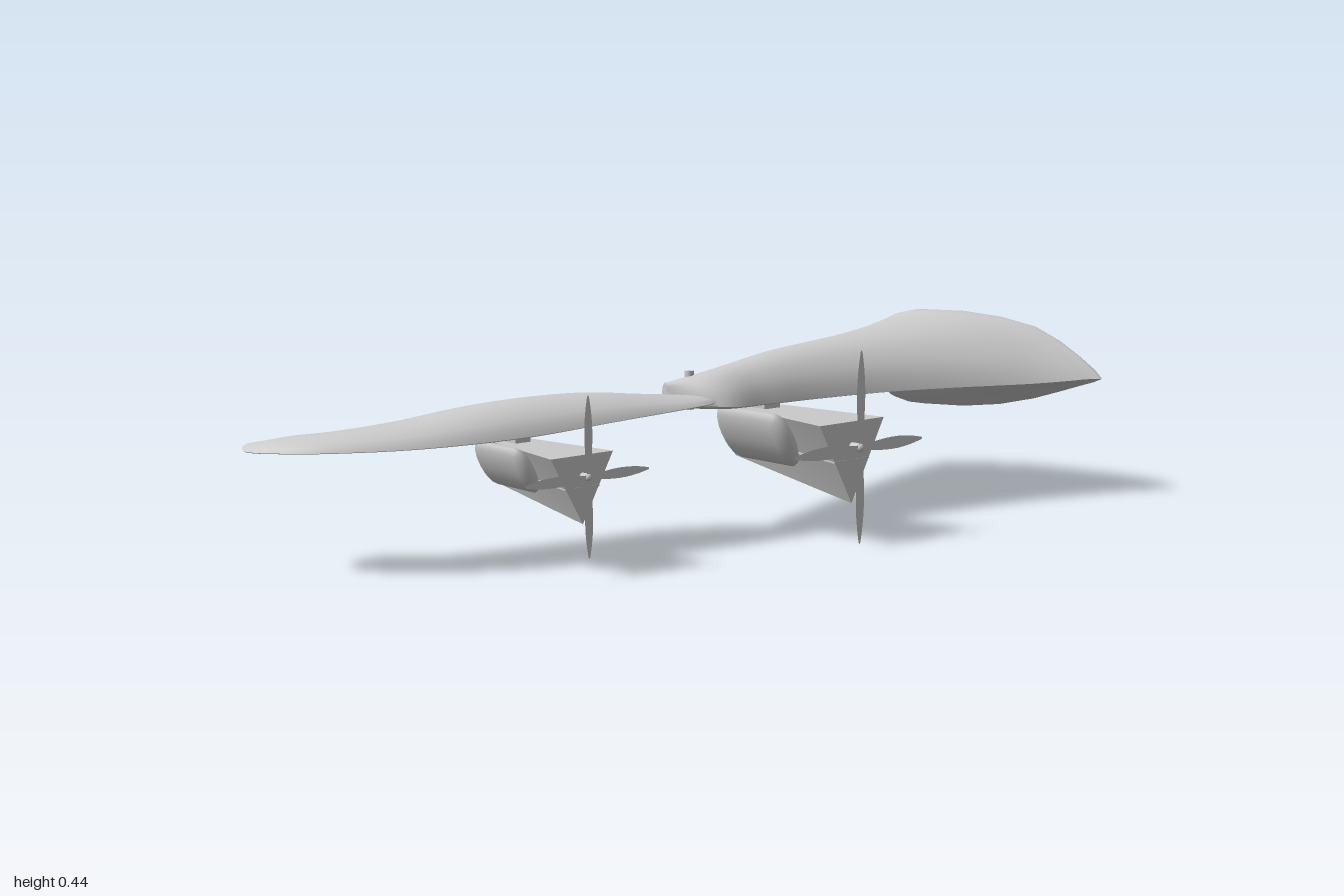
import * as THREE from 'three';
import { toCreasedNormals } from 'three/addons/utils/BufferGeometryUtils.js';

const material = new THREE.MeshStandardMaterial({ color: 0xcccccc });
const thin = new THREE.MeshStandardMaterial({ color: 0xcccccc, side: THREE.DoubleSide });

function part(name, geometry, parent, mat = material) {
  const mesh = new THREE.Mesh(geometry, mat);
  mesh.name = name;
  parent.add(mesh);
  return mesh;
}

// Joins closed rings of points (clockwise seen from the last ring) and caps both ends
function loft(rings, crease) {
  const n = rings[0].length, index = [];
  const points = rings.flat();
  for (let i = 0; i < rings.length - 1; i++) {
    for (let j = 0; j < n; j++) {
      const a = i * n + j, b = i * n + (j + 1) % n;
      index.push(a, a + n, b, b, a + n, b + n);
    }
  }
  for (const [i, flip] of [[0, false], [rings.length - 1, true]]) {
    const c = points.length;
    points.push(rings[i].reduce((s, p) => s.add(p), new THREE.Vector3()).divideScalar(n));
    for (let j = 0; j < n; j++) {
      const a = i * n + j, b = i * n + (j + 1) % n;
      index.push(c, flip ? b : a, flip ? a : b);
    }
  }
  const g = new THREE.BufferGeometry().setFromPoints(points);
  g.setIndex(index);
  return toCreasedNormals(g, crease);
}

// Section heights along the chord: [chord fraction, root upper, root lower, foil upper, foil lower]
const SECTION = [
  [0, 0, 0, 0, 0], [0.03, 0.15, 0.1, 0.34, 0.5], [0.09, 0.36, 0.24, 0.6, 0.8],
  [0.17, 0.6, 0.43, 0.82, 0.95], [0.27, 0.82, 0.65, 0.96, 1], [0.4, 0.94, 0.85, 1, 0.9],
  [0.55, 1, 0.97, 0.92, 0.65], [0.72, 0.99, 1, 0.7, 0.4], [0.79, 0.92, 0.99, 0.57, 0.3],
  [0.85, 0.78, 0.9, 0.43, 0.2], [0.92, 0.44, 0.56, 0.25, 0.1], [0.97, 0.18, 0.28, 0.1, 0.03],
  [1, 0, 0, 0, 0],
];

// Station: leading xyz, trailing xyz, top y, bottom y, blend from foil (0) to root section (1)
function wing(stations, steps) {
  const curve = (f) => new THREE.CatmullRomCurve3(stations.map(f), false, 'catmullrom', 0.5);
  const lead = curve((s) => new THREE.Vector3(s[0], s[1], s[2]));
  const trail = curve((s) => new THREE.Vector3(s[3], s[4], s[5]));
  const height = curve((s) => new THREE.Vector3(s[6], s[7], s[8]));
  const rings = [];
  for (let i = 0; i <= steps; i++) {
    const L = lead.getPoint(i / steps), T = trail.getPoint(i / steps), h = height.getPoint(i / steps);
    const at = (u, root, foil, y) => {
      const p = L.clone().lerp(T, u);
      p.y += (y - p.y) * THREE.MathUtils.lerp(foil, root, h.z);
      return p;
    };
    rings.push([
      ...SECTION.map(([u, root, , foil]) => at(u, root, foil, h.x)),
      ...SECTION.slice(1, -1).reverse().map(([u, , root, , foil]) => at(u, root, foil, h.y)),
    ]);
  }
  return loft(rings, 0.75);
}

// Inverted triangular section at depth z
function triangle(halfWidth, top, bottom, z) {
  return [
    new THREE.Vector3(-halfWidth, top, z),
    new THREE.Vector3(halfWidth, top, z),
    new THREE.Vector3(0, bottom, z),
  ];
}

// Flat strip section at depth z
function strip(halfWidth, y, z) {
  return [[-1, 1], [1, 1], [1, -1], [-1, -1]].map(
    ([sx, sy]) => new THREE.Vector3(sx * halfWidth, y + sy * 0.002, z));
}

function enginePod(name, x, y, z, scale) {
  const pod = new THREE.Group();
  pod.name = name;
  pod.position.set(x, y, z);
  pod.scale.setScalar(scale);

  // Tapered housing with a seam plate running along both sides
  part('podHousing', loft([
    triangle(0.045, 0.065, -0.057, -0.375),
    triangle(0.105, 0.055, -0.124, -0.024),
  ], 0.3), pod);
  part('podSeamPlate', loft([
    strip(0.0185, -0.01, -0.374),
    strip(0.057, -0.029, -0.0235),
  ], 0.3), pod);

  // Rounded fairing lying along one side of the housing
  const fairing = part('podFairing', new THREE.CapsuleGeometry(0.03, 0.17, 6, 14), pod);
  fairing.geometry.rotateX(Math.PI / 2).scale(0.75, 2.3, 1);
  fairing.position.set(-0.08, 0.012, -0.23);
  fairing.rotation.set(0, -0.1, 0.5);

  // Pylon up into the wing
  const pylon = part('podPylon', new THREE.BoxGeometry(0.05, 0.05, 0.1), pod);
  pylon.position.set(0, 0.075, -0.31);

  // Shaft and rounded hub
  const shaft = part('propellerShaft', new THREE.CylinderGeometry(0.01, 0.01, 0.03, 16), pod);
  shaft.rotation.x = Math.PI / 2;
  shaft.position.z = -0.015;
  const hub = part('propellerHub', new THREE.SphereGeometry(0.01, 16, 10), pod);
  hub.position.z = -0.003;

  // Four thin pointed blades
  const outline = new THREE.Shape();
  outline.moveTo(-0.005, 0);
  outline.bezierCurveTo(-0.008, 0.05, -0.024, 0.11, -0.003, 0.207);
  outline.lineTo(0, 0.211);
  outline.lineTo(0.003, 0.207);
  outline.bezierCurveTo(0.024, 0.11, 0.008, 0.05, 0.005, 0);
  const blade = new THREE.ShapeGeometry(outline, 10);
  for (let i = 0; i < 4; i++) {
    part('propellerBlade', blade, pod, thin).rotation.z = i * Math.PI / 2;
  }
  return pod;
}

export function createModel() {
  const model = new THREE.Group();
  model.name = 'wingAssembly';

  // Inner wing, from the pointed hinge to the flared root
  part('innerWing', wing([
    [-0.143, 0.305, 0.0, -0.14, 0.315, -0.02, 0.345, 0.29, 0.3],
    [-0.07, 0.295, 0.11, -0.05, 0.31, -0.06, 0.365, 0.285, 0.3],
    [0.05, 0.293, 0.125, 0.07, 0.31, -0.095, 0.38, 0.285, 0.3],
    [0.2, 0.292, 0.133, 0.2, 0.31, -0.14, 0.395, 0.285, 0.3],
    [0.4, 0.291, 0.16, 0.4, 0.31, -0.2, 0.408, 0.285, 0.3],
    [0.6, 0.288, 0.205, 0.6, 0.31, -0.26, 0.42, 0.283, 0.4],
    [0.8, 0.285, 0.27, 0.77, 0.305, -0.297, 0.433, 0.275, 0.75],
    [0.9, 0.287, 0.312, 0.84, 0.3, -0.308, 0.44, 0.225, 1],
    [0.96, 0.29, 0.342, 0.88, 0.3, -0.312, 0.441, 0.195, 1],
    [0.987, 0.29, 0.362, 0.9, 0.3, -0.31, 0.435, 0.193, 1],
    [0.998, 0.29, 0.357, 0.91, 0.3, -0.295, 0.418, 0.203, 1],
  ], 60), model);

  // Outer wing, from the curled tip to the hinge
  part('outerWing', wing([
    [-0.98, 0.257, -0.352, -0.93, 0.257, -0.367, 0.262, 0.252, 0.5],
    [-1.0, 0.254, -0.31, -0.88, 0.257, -0.355, 0.268, 0.248, 0.4],
    [-0.98, 0.255, -0.245, -0.85, 0.263, -0.315, 0.28, 0.25, 0.3],
    [-0.9, 0.257, -0.15, -0.81, 0.268, -0.28, 0.29, 0.252, 0.3],
    [-0.75, 0.261, -0.05, -0.72, 0.278, -0.25, 0.305, 0.255, 0.3],
    [-0.55, 0.27, 0.02, -0.55, 0.29, -0.21, 0.333, 0.262, 0.3],
    [-0.35, 0.287, 0.066, -0.35, 0.302, -0.175, 0.338, 0.28, 0.3],
    [-0.2, 0.297, 0.087, -0.21, 0.306, -0.11, 0.326, 0.29, 0.3],
    [-0.12, 0.302, 0.095, -0.13, 0.308, -0.045, 0.32, 0.296, 0.3],
    [-0.06, 0.305, 0.088, -0.06, 0.308, 0.03, 0.318, 0.298, 0.3],
  ], 60), model);

  // Hinge pin joining the two wings
  const pin = part('hingePin', new THREE.CylinderGeometry(0.01, 0.01, 0.085, 16), model);
  pin.position.set(-0.085, 0.325, 0.01);

  model.add(enginePod('innerEnginePod', 0.11, 0.211, 0.337, 1));
  model.add(enginePod('outerEnginePod', -0.52, 0.202, 0.17, 0.78));
  return model;
}
